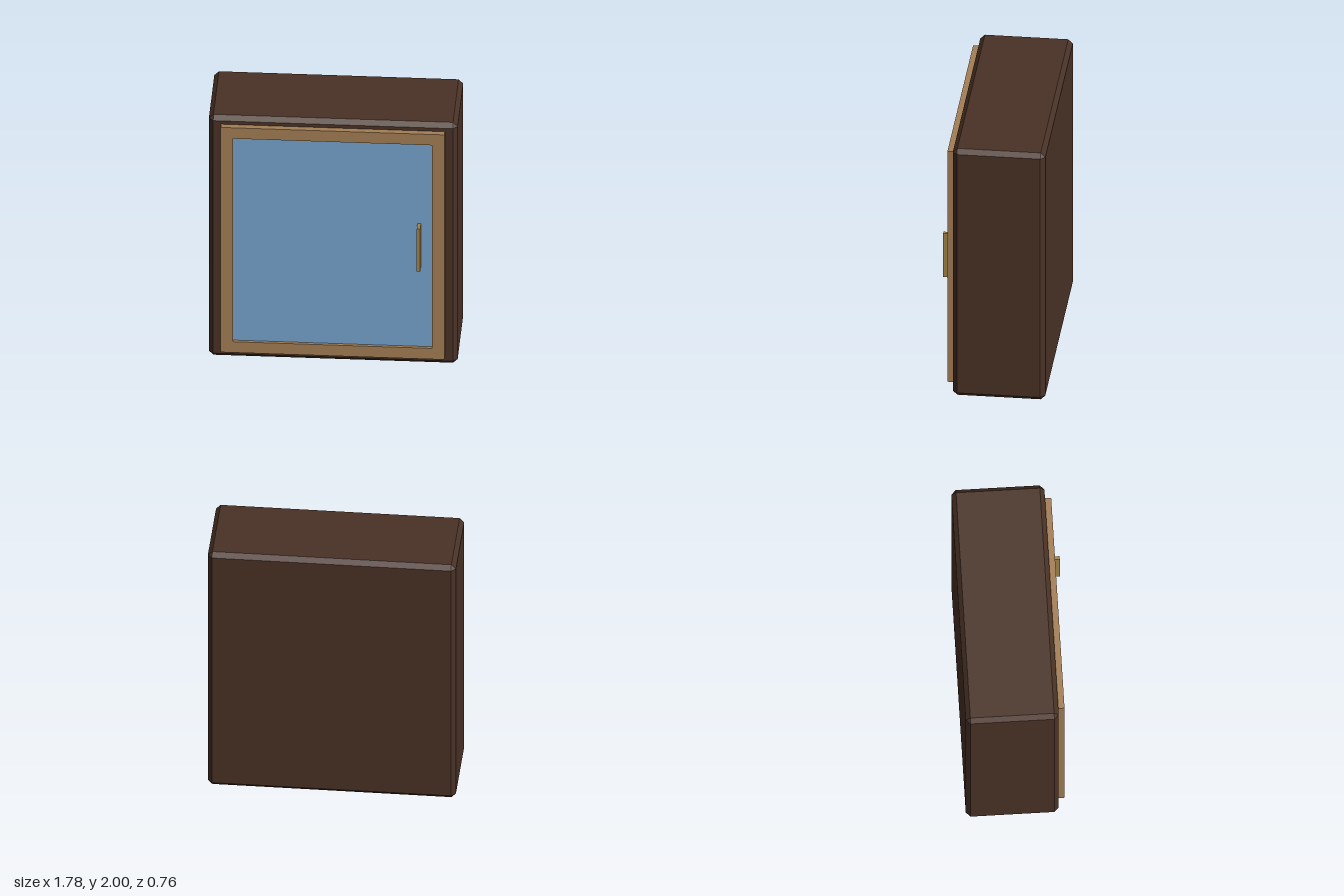
import * as THREE from 'three';
import { ConvexGeometry } from 'three/addons/geometries/ConvexGeometry.js';

const mat = (color) => new THREE.MeshStandardMaterial({ color });

function add(group, name, geometry, material, x, y, z) {
  const mesh = new THREE.Mesh(geometry, material);
  mesh.name = name;
  mesh.position.set(x, y, z);
  group.add(mesh);
}

// Box with every edge cut at 45 degrees by c
function chamferedBox(w, h, d, c) {
  const pts = [];
  for (const sx of [-1, 1]) for (const sy of [-1, 1]) for (const sz of [-1, 1]) {
    for (let full = 0; full < 3; full++) {
      const cut = [c, c, c];
      cut[full] = 0;
      pts.push(new THREE.Vector3(sx * (w / 2 - cut[0]), sy * (h / 2 - cut[1]), sz * (d / 2 - cut[2])));
    }
  }
  return new ConvexGeometry(pts);
}

// Rectangle outline centred on the origin
function rect(PathType, w, h) {
  return new PathType([[-1, -1], [1, -1], [1, 1], [-1, 1]]
    .map(([x, y]) => new THREE.Vector2(x * w / 2, y * h / 2)));
}

export function createModel() {
  const group = new THREE.Group();
  group.name = 'wallCabinet';

  // Cabinet body
  add(group, 'cabinetBody', chamferedBox(1.78, 2, 0.665, 0.033), mat(0x4a3226), 0, 1, -0.0475);

  // Door frame with its opening
  const frame = rect(THREE.Shape, 1.6, 1.87);
  frame.holes.push(rect(THREE.Path, 1.426, 1.69));
  const frameGeometry = new THREE.ExtrudeGeometry(frame, { depth: 0.045, bevelEnabled: false });
  add(group, 'doorFrame', frameGeometry, mat(0xa47f55), 0, 1.005, 0.285);

  // Recessed pane
  add(group, 'doorPane', new THREE.BoxGeometry(1.426, 1.69, 0.022), mat(0x78a6d0), 0, 1.005, 0.296);

  // Handle bar on the door's left side
  add(group, 'handle', new THREE.BoxGeometry(0.025, 0.355, 0.073), mat(0xa58548), 0.618, 1.003, 0.3435);

  return group;
}
